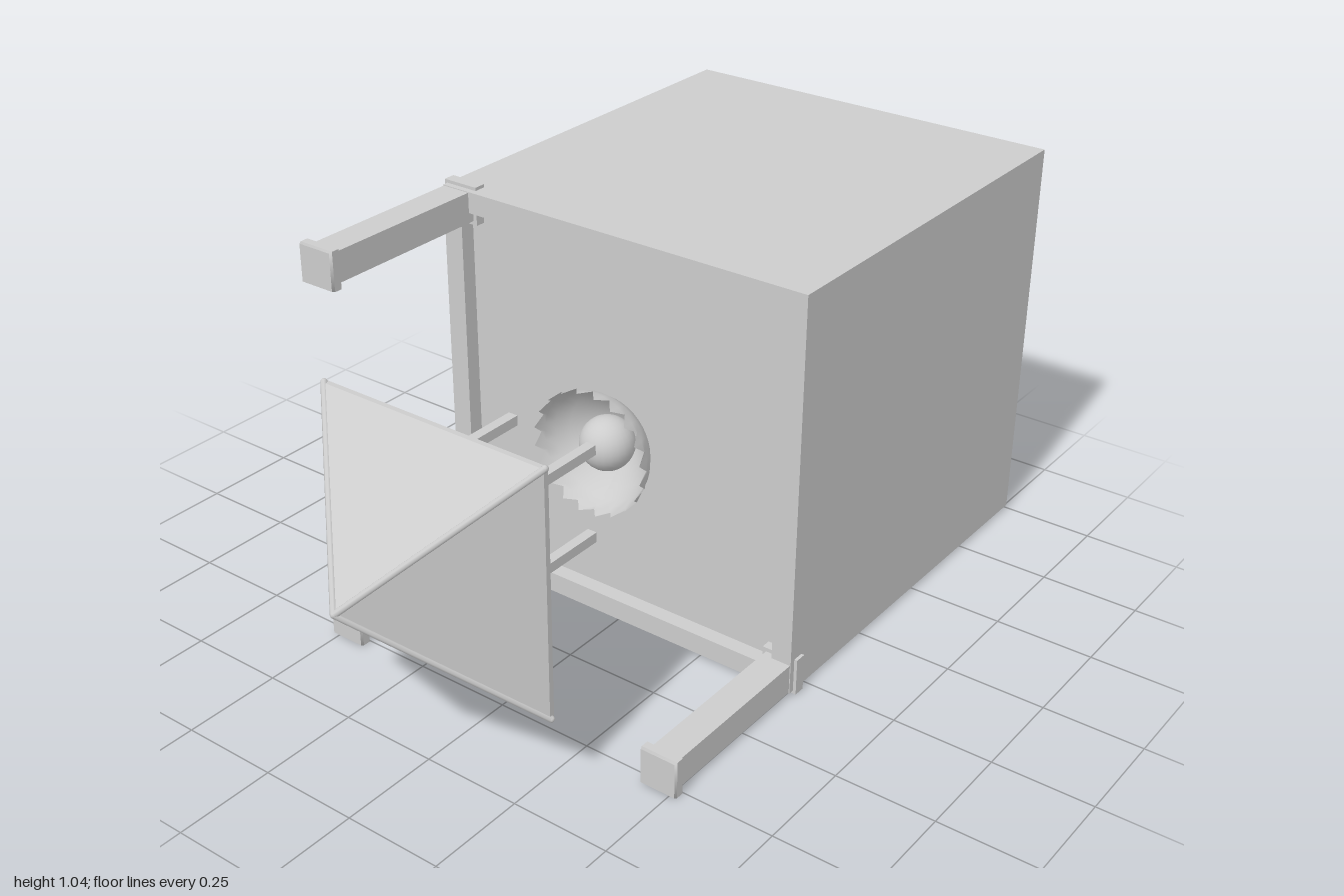
import * as THREE from 'three';

const MID = 0.52; // height of the central axis

export function createModel() {
  const root = new THREE.Group();
  const grey = new THREE.MeshStandardMaterial({ color: 0xcccccc, side: THREE.DoubleSide });
  grey.name = 'lightGrey';

  const add = (name, geometry, parent = root) => {
    const mesh = new THREE.Mesh(geometry, grey);
    mesh.name = name;
    parent.add(mesh);
    return mesh;
  };
  // Box from x, y centre and a z range
  const box = (name, x, y, w, h, z0, z1, parent) => {
    const m = add(name, new THREE.BoxGeometry(w, h, z1 - z0), parent);
    m.position.set(x, y, (z0 + z1) / 2);
    return m;
  };

  // Large block with a raised rim around its front panel
  box('body', 0, MID, 1.02, 1.02, -1, 0.03);
  const rim = new THREE.Shape();
  const square = (path, r) => path.moveTo(-r, -r).lineTo(r, -r).lineTo(r, r).lineTo(-r, r).closePath();
  square(rim, 0.51);
  const opening = new THREE.Path();
  square(opening, 0.457);
  rim.holes.push(opening);
  add('frontRim', new THREE.ExtrudeGeometry(rim, { depth: 0.04, bevelEnabled: false })).position.set(0, MID, 0.03);

  // Three corner posts with collars and end caps
  for (const [sx, sy] of [[-1, 1], [-1, -1], [1, -1]]) {
    const post = new THREE.Group();
    post.name = 'cornerPost';
    const x = sx * 0.47, y = MID + sy * 0.47;
    box('postShaft', x, y, 0.076, 0.076, 0.03, 0.51, post);
    box('postCollar', x, y, 0.096, 0.096, 0.025, 0.055, post);
    box('postCap', x, y, 0.096, 0.096, 0.503, 0.523, post);
    // Chamfered end of the cap
    const tip = new THREE.CylinderGeometry(0.091 / Math.SQRT2, 0.096 / Math.SQRT2, 0.007, 4);
    tip.rotateY(Math.PI / 4).rotateX(Math.PI / 2);
    add('postCapTip', tip.toNonIndexed(), post).position.set(x, y, 0.5265);
    root.add(post);
  }

  // Bowl with a zigzag rim
  const profile = [[0.001, 0.032], [0.05, 0.04], [0.085, 0.066], [0.118, 0.09], [0.14, 0.12], [0.15, 0.145], [0.156, 0.18]];
  const teeth = 20;
  const bowl = new THREE.LatheGeometry(profile.map(([r, h]) => new THREE.Vector2(r, h)), teeth * 2);
  const p = bowl.attributes.position;
  for (let i = 0; i <= teeth * 2; i += 2) p.setY(i * profile.length + profile.length - 1, 0.152);
  bowl.rotateX(Math.PI / 2);
  bowl.computeVertexNormals();
  add('bowl', bowl).position.y = MID;

  // Ball seated in the bowl
  add('ball', new THREE.SphereGeometry(0.067, 24, 16)).position.set(0, MID, 0.1);

  // Four-legged arched bracket
  const bracket = new THREE.Group();
  bracket.name = 'archedBracket';
  bracket.position.y = MID;
  const arch = new THREE.Shape();
  arch.moveTo(-0.102, 0.5).lineTo(-0.102, 0.68).lineTo(0.102, 0.68).lineTo(0.102, 0.5);
  arch.absellipse(0, 0.5, 0.1, 0.174, 0, Math.PI, false);
  const archGeo = new THREE.ExtrudeGeometry(arch, { depth: 0.014, bevelEnabled: false, curveSegments: 20 });
  archGeo.rotateX(Math.PI / 2).translate(0, 0.12, 0);
  for (let k = 0; k < 4; k++) {
    add('archPanel', archGeo, bracket).rotation.z = k * Math.PI / 2;
    const sx = k < 2 ? 1 : -1, sy = k % 2 ? 1 : -1;
    box('bracketLeg', sx * 0.1125, sy * 0.1125, 0.025, 0.025, 0.3, 0.68, bracket);
  }
  root.add(bracket);

  // Pyramid on a thin square plate, with ridge bars along its edges
  box('pyramidPlate', 0, MID, 0.612, 0.612, 0.677, 0.69);
  const cone = new THREE.ConeGeometry(0.306 * Math.SQRT2, 0.306, 4);
  cone.rotateY(Math.PI / 4).rotateX(Math.PI / 2);
  const pyramid = cone.toNonIndexed();
  pyramid.computeVertexNormals();
  add('pyramid', pyramid).position.set(0, MID, 0.843);
  const apex = new THREE.Vector3(0, MID, 0.992);
  for (const sx of [-1, 1]) for (const sy of [-1, 1]) {
    const corner = new THREE.Vector3(sx * 0.305, MID + sy * 0.305, 0.685);
    const bar = new THREE.TubeGeometry(new THREE.LineCurve3(corner, apex), 1, 0.008, 8);
    add('ridgeBar', bar);
    add('ridgeEnd', new THREE.SphereGeometry(0.008, 8, 6)).position.copy(corner);
  }
  add('apexKnob', new THREE.SphereGeometry(0.008, 8, 6)).position.copy(apex);

  return root;
}
